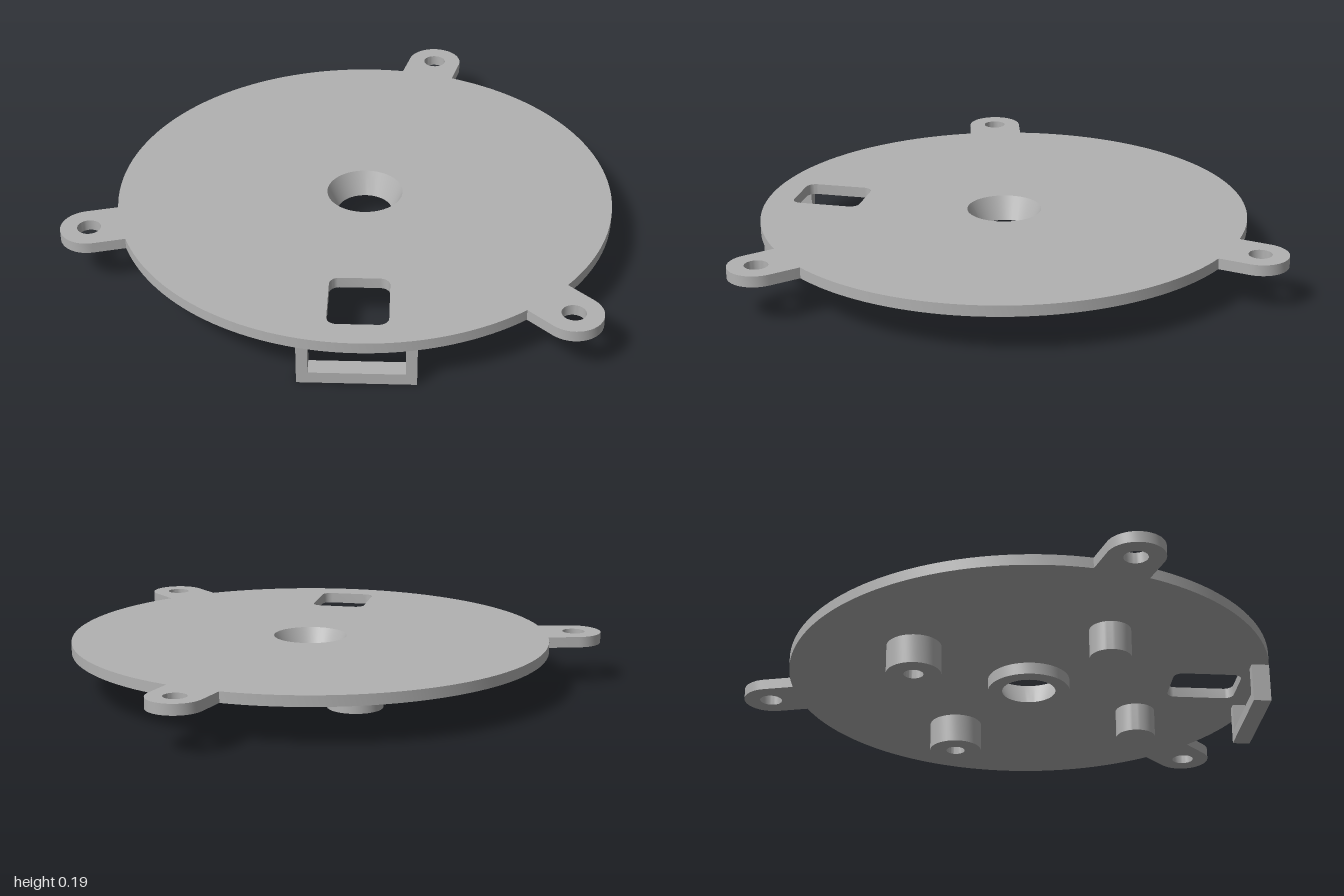
import * as THREE from 'three';
import { toCreasedNormals } from 'three/addons/utils/BufferGeometryUtils.js';

const TOP = 0.185, UNDER = 0.145;   // plate faces
const R = 0.895;                    // disc radius
const TAB_DIST = 1.005, TAB_R = 0.102, TAB_HOLE = 0.042;
const TILT = 0.163;                 // turn of window and bracket about the disc axis

export function createModel() {
  const model = new THREE.Group();
  model.name = 'mountingPlate';
  const body = new THREE.Group();
  body.name = 'plateAssembly';
  body.position.set(0.044, 0, 0.105);
  model.add(body);

  const grey = new THREE.MeshStandardMaterial({ color: 0xb2b2b2 });
  grey.name = 'grey';

  const add = (name, geometry) => {
    const mesh = new THREE.Mesh(toCreasedNormals(geometry, 0.5), grey);
    mesh.name = name;
    body.add(mesh);
    return mesh;
  };
  const lathe = (pts, segments) =>
    new THREE.LatheGeometry(pts.map(([x, y]) => new THREE.Vector2(x, y)), segments);
  const arc = (cx, cy, r, a0, a1, n) => Array.from({ length: n + 1 }, (_, i) => {
    const a = a0 + (a1 - a0) * i / n;
    return new THREE.Vector2(cx + r * Math.cos(a), cy + r * Math.sin(a));
  });

  // Plate outline: disc with three round ears, drawn in (x, z)
  const outline = [], holes = [];
  const half = Math.asin(TAB_R / R), third = Math.PI * 2 / 3;
  for (let i = 0; i < 3; i++) {
    const a = THREE.MathUtils.degToRad(35.3) + i * third;
    const cx = TAB_DIST * Math.cos(a), cz = TAB_DIST * Math.sin(a);
    outline.push(...arc(cx, cz, TAB_R, a - Math.PI / 2, a + Math.PI / 2, 24));
    outline.push(...arc(0, 0, R, a + half, a + third - half, 48));
    holes.push(arc(cx, cz, TAB_HOLE, 0, Math.PI * 2, 32).slice(0, -1));
  }
  // Centre opening
  holes.push(arc(0, 0, 0.137, 0, Math.PI * 2, 64).slice(0, -1));
  // Rounded window, turned to lie along a radius
  const w = 0.104, h = 0.128, r = 0.035, win = [];
  [[1, 1], [-1, 1], [-1, -1], [1, -1]].forEach(([sx, sy], i) =>
    win.push(...arc(sx * (w - r), 0.666 + sy * (h - r), r, i * Math.PI / 2, (i + 1) * Math.PI / 2, 8)));
  holes.push(win.map(p => p.rotateAround(new THREE.Vector2(), -TILT)));

  const shape = new THREE.Shape(outline);
  shape.holes = holes.map(pts => new THREE.Path(pts));
  const plate = new THREE.ExtrudeGeometry(shape, { depth: TOP - UNDER, bevelEnabled: false });
  plate.rotateX(Math.PI / 2).translate(0, TOP, 0);
  add('plate', plate);

  // Tapered centre bore with its collar below the plate
  add('centreCollar', lathe([
    [0.153, 0.1], [0.153, UNDER], [0.137, UNDER], [0.137, TOP], [0.1, 0.1], [0.153, 0.1],
  ], 64));

  // Two hollow bosses at the back, two solid pegs at the front
  for (const [x, z] of [[0.388, -0.318], [-0.32, -0.392]]) {
    add('hollowBoss', lathe([[0.036, UNDER], [0.036, 0.035], [0.1, 0.035], [0.1, UNDER]], 48))
      .position.set(x, 0, z);
  }
  for (const [x, z] of [[0.32, 0.392], [-0.388, 0.318]]) {
    add('solidPeg', new THREE.CylinderGeometry(0.075, 0.075, UNDER - 0.035, 48))
      .position.set(x, (UNDER + 0.035) / 2, z);
  }

  // U-shaped bracket hanging under the front edge
  const u = new THREE.Shape([
    [-0.2, 0], [0.2, 0], [0.2, UNDER], [0.162, UNDER], [0.162, 0.042],
    [-0.162, 0.042], [-0.162, UNDER], [-0.2, UNDER],
  ].map(([x, y]) => new THREE.Vector2(x, y)));
  const bracket = new THREE.ExtrudeGeometry(u, { depth: 0.065, bevelEnabled: false });
  bracket.translate(0, 0, 0.808);
  add('bracket', bracket).rotation.y = TILT;

  return model;
}
